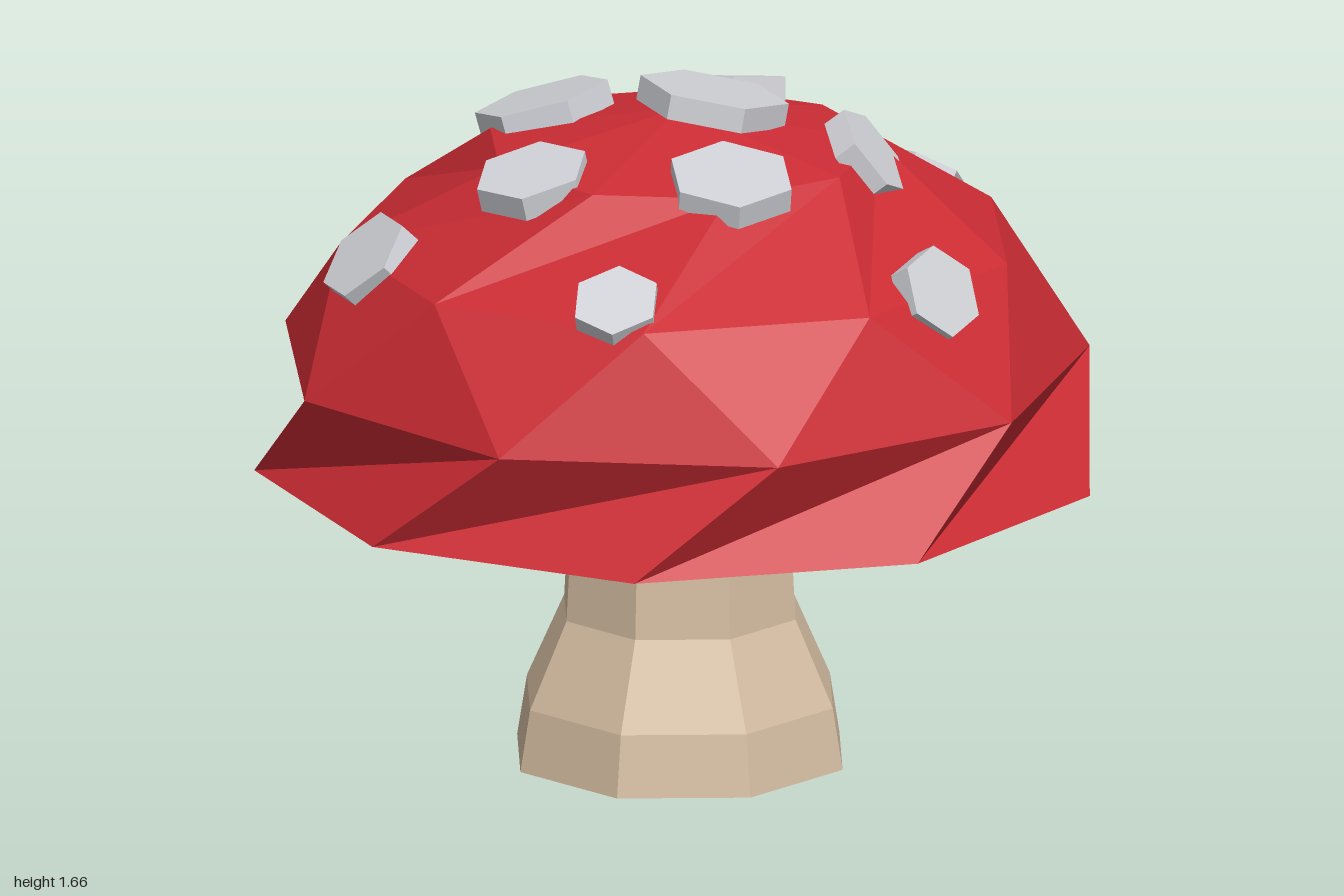
import * as THREE from 'three';

const material = (name, color) => {
  const m = new THREE.MeshStandardMaterial({ color, flatShading: true });
  m.name = name;
  return m;
};

// Faceted shell from [radius, height] rings; odd rings are turned by half a side when twisted.
function shell(sides, profile, twisted = false) {
  const step = (Math.PI * 2) / sides;
  const point = (r, i) => {
    const a = step * (i - (twisted && r % 2 ? 0.5 : 0));
    const [radius, y] = profile[r];
    return [radius * Math.cos(a), y, radius * Math.sin(a)];
  };
  const positions = [];
  for (let r = 0; r < profile.length - 1; r++) {
    for (let i = 0; i < sides; i++) {
      if (profile[r + 1][0] > 0) positions.push(...point(r, i), ...point(r + 1, i - 1), ...point(r + 1, i));
      if (profile[r][0] > 0) positions.push(...point(r, i), ...point(r, i - 1), ...point(r + 1, i - 1));
    }
  }
  const geometry = new THREE.BufferGeometry();
  geometry.setAttribute('position', new THREE.Float32BufferAttribute(positions, 3));
  geometry.computeVertexNormals();
  return geometry;
}

export function createModel() {
  const group = new THREE.Group();
  group.name = 'mushroom';
  const red = material('capRed', 0xcc2c34);
  const tan = material('stemTan', 0xd6bea3);
  const grey = material('spotGrey', 0xcfd0d5);

  const add = (name, geometry, mat) => {
    const mesh = new THREE.Mesh(geometry, mat);
    mesh.name = name;
    group.add(mesh);
    return mesh;
  };
  const centreX = -0.025;

  // Stem with a flared foot
  const stem = [[0, 0], [0.415, 0], [0.39, 0.15], [0.295, 0.36], [0.275, 0.72], [0.265, 0.93]];
  add('stem', shell(8, stem), tan).position.x = centreX;

  // Twisted low-poly cap and its hollow underside
  const cap = [[1.015, 0.72], [0.977, 0.99], [0.81, 1.28], [0.47, 1.51], [0, 1.6]];
  add('cap', shell(9, cap, true), red).position.x = centreX;
  const underside = [[0, 0.92], [0.75, 0.82], [1.015, 0.72]];
  add('capUnderside', shell(9, underside), tan).position.x = centreX;

  // Spots: centre, facing direction, radius, turn in degrees
  const spots = [
    [[0.06, 1.605, 0], [0.19, 0.98, 0], 0.18, 0],
    [[-0.24, 1.54, -0.31], [-0.2, 0.95, -0.2], 0.165, 0],
    [[0.24, 1.525, -0.33], [0.12, 0.95, -0.25], 0.155, -17],
    [[0.7, 1.28, -0.23], [0.5, 0.8, -0.25], 0.11, 20],
    [[0.03, 1.29, -0.76], [0, 0.77, -0.63], 0.12, 22],
    [[-0.78, 1.28, -0.11], [-0.72, 0.69, 0], 0.125, 0],
    [[-0.455, 1.5, 0.11], [-0.25, 0.95, 0.1], 0.14, 26],
    [[-0.065, 1.52, 0.39], [-0.05, 0.96, 0.24], 0.155, -16],
    [[0.35, 1.5, 0.25], [0.65, 0.6, 0.4], 0.125, 0],
    [[-0.45, 1.315, 0.59], [-0.3, 0.83, 0.45], 0.108, 30],
    [[0.34, 1.275, 0.675], [0.35, 0.5, 0.78], 0.115, 10],
  ];
  const up = new THREE.Vector3(0, 1, 0);
  spots.forEach(([centre, facing, radius, turn], i) => {
    const geometry = new THREE.CylinderGeometry(radius, radius, 0.06, 6);
    geometry.rotateY(THREE.MathUtils.degToRad(turn));
    const spot = add(`spot${i + 1}`, geometry, grey);
    spot.position.set(...centre);
    spot.quaternion.setFromUnitVectors(up, new THREE.Vector3(...facing).normalize());
  });

  return group;
}
